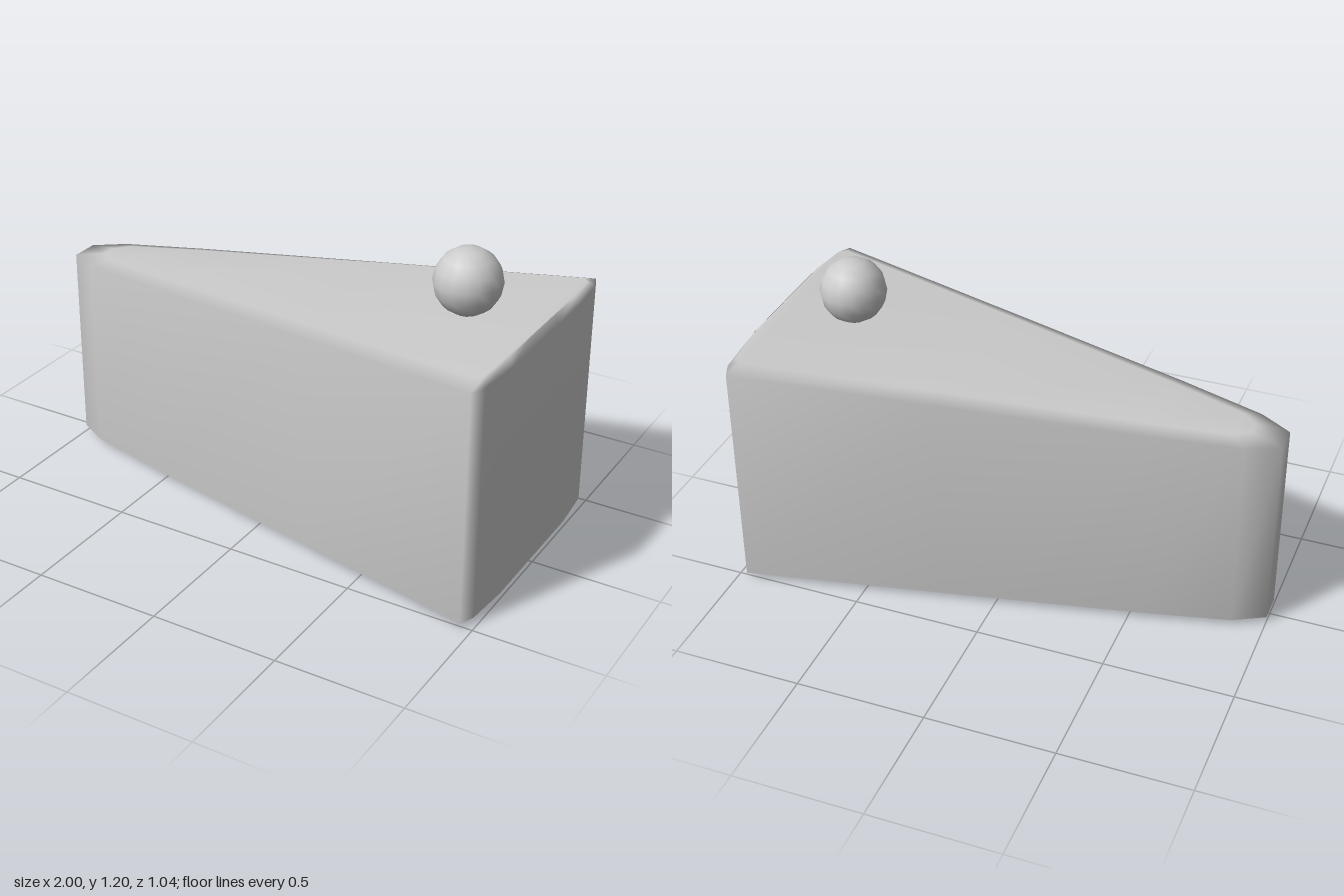
import * as THREE from 'three';

// Half outlines from the tip to the middle of the back: [x, z]
const wall = [[-1, 0.055], [-0.88, 0.12], [-0.55, 0.2], [0.2, 0.36], [0.96, 0.52], [0.985, 0.46], [1, 0.28], [1, 0.1]];
// Inset outline at the top and bottom faces: [x, z, sag]
const inset = [[-0.88, 0.03, 0.006], [-0.82, 0.075, 0.006], [-0.53, 0.145, 0.005], [0.2, 0.3, 0.005],
  [0.94, 0.455, 0.008], [0.965, 0.43, 0.007], [0.98, 0.27, 0.002], [0.98, 0.1, 0]];

const mirrorLoop = half => [...half, ...half.map(([x, z, s]) => [x, -z, s]).reverse()];

function wedgeGeometry() {
  const outer = mirrorLoop(wall), inner = mirrorLoop(inset);
  const n = outer.length, half = n / 2;
  const rings = [
    inner.map(([x, z, s]) => [x, s, z]),
    outer.map(([x, z]) => [x, 0.025, z]),
    outer.map(([x, z]) => [x, 0.868 + 0.069 * x, z]),
    inner.map(([x, z, s]) => [x, 0.895 + 0.075 * x - s, z]),
  ];
  const index = [];
  const quad = (a, b, c, d) => index.push(a, b, c, a, c, d);

  // Bevels and walls between neighbouring rings
  for (let r = 0; r < 3; r++) {
    for (let i = 0; i < n; i++) {
      const j = (i + 1) % n;
      quad(r * n + i, r * n + j, (r + 1) * n + j, (r + 1) * n + i);
    }
  }
  // Top and bottom faces, in strips across the slice
  const top = 3 * n;
  for (let i = 0; i < half - 1; i++) {
    quad(top + i, top + i + 1, top + n - 2 - i, top + n - 1 - i);
    quad(n - 1 - i, n - 2 - i, i + 1, i);
  }

  const geometry = new THREE.BufferGeometry();
  geometry.setAttribute('position', new THREE.Float32BufferAttribute(rings.flat(2), 3));
  geometry.setIndex(index);
  geometry.computeVertexNormals();
  return geometry;
}

export function createModel() {
  const group = new THREE.Group();
  group.name = 'cakeSlice';
  const material = new THREE.MeshStandardMaterial({ color: 0xcccccc });

  const slice = new THREE.Mesh(wedgeGeometry(), material);
  slice.name = 'slice';
  group.add(slice);

  // Round topping resting near the wide end
  const cherry = new THREE.Mesh(new THREE.SphereGeometry(0.127, 16, 8), material);
  cherry.name = 'cherry';
  cherry.position.set(0.69, 1.07, 0.003);
  group.add(cherry);

  return group;
}
